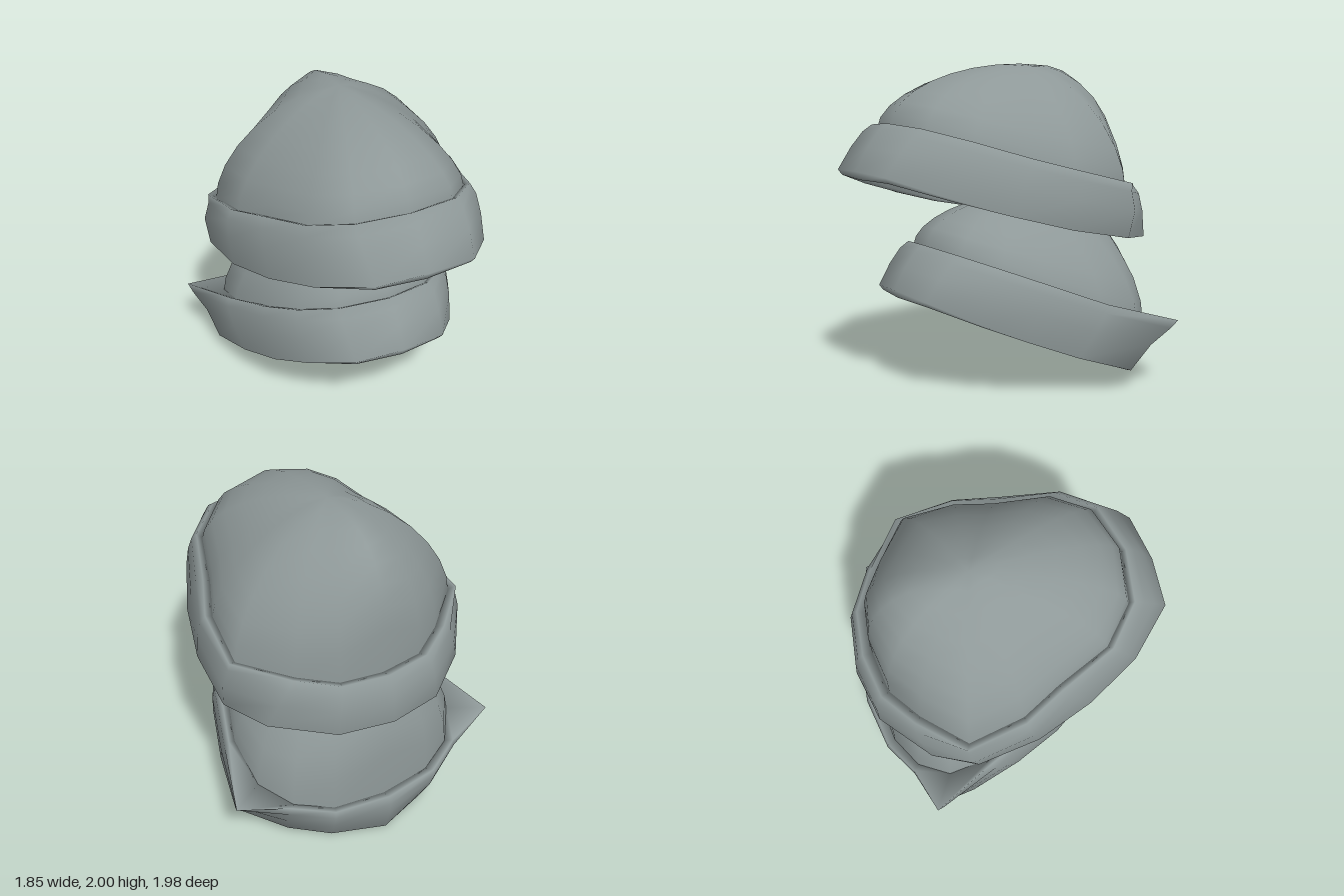
import * as THREE from 'three';
import { mergeVertices } from 'three/addons/utils/BufferGeometryUtils.js';

const HALF = 8, COLS = 16;

// Build a half ring of [x, y, z] points, front centre to back centre.
// The height follows a gentle curve over z: c + b z + a z².
function ring(xs, zs, [c, b, a]) {
  return xs.map((x, i) => [x, c + b * zs[i] + a * zs[i] ** 2, zs[i]]);
}

// Shift a point horizontally away from the hat's axis, and vertically.
function shift([x, y, z], out, up = 0) {
  const dz = z + 0.1, r = Math.hypot(x, dz);
  return [x + (x / r) * out, y + up, z + (dz / r) * out];
}
const mix = (a, b, t) => a.map((v, k) => v + (b[k] - v) * t);

// Mirror half rings to full loops and skin them, rows running upward outside.
function skin(rows) {
  const pos = [], index = [];
  for (const row of rows) {
    for (let i = 0; i < COLS; i++) {
      const [x, y, z] = row[i <= HALF ? i : COLS - i];
      pos.push(i <= HALF ? x : -x, y, z);
    }
  }
  for (let j = 0; j < rows.length - 1; j++) {
    for (let i = 0; i < COLS; i++) {
      const a = j * COLS + i, b = j * COLS + (i + 1) % COLS;
      index.push(a, b, b + COLS, a, b + COLS, a + COLS);
    }
  }
  const raw = new THREE.BufferGeometry();
  raw.setAttribute('position', new THREE.Float32BufferAttribute(pos, 3));
  raw.setIndex(index);
  const geo = mergeVertices(raw, 1e-4);
  geo.computeVertexNormals();
  return geo;
}

// Rounded crown: leaner at the sides, fuller at the back.
function crownGeometry(base, apex) {
  const rows = [], steps = 8;
  for (let j = 0; j < steps; j++) {
    const a = (j / steps) * Math.PI / 2;
    rows.push(base.map(([x, y, z], i) => {
      const t = i / HALF;
      const e = 1 + 0.32 * Math.sin(Math.PI * t) - 0.34 * t ** 3;
      const c = Math.cos(a) ** e, s = Math.sin(a) ** e;
      return [x * c, y + (apex[1] - y) * s, apex[2] + (z - apex[2]) * c];
    }));
  }
  rows.push(base.map(() => apex));
  return skin(rows);
}

// Turned-up brim: inner wall, hem, flared outer wall and rolled top.
function brimGeometry(base, top, hem, spike) {
  const drop = (i) => -Math.max(0, 0.05 - 0.016 * i);
  return skin([
    base,
    hem.map((p, i) => shift(p, -0.05, drop(i) + 0.015)),
    hem.map((p, i) => shift(p, -0.025, drop(i))),
    hem,
    top.map((p, i) => shift(mix(p, hem[i], 0.5), i === 5 ? 0.03 - spike / 4 : 0.025)),
    top.map((p, i) => shift(mix(p, hem[i], 0.16), i === 5 ? 0 : 0.025)),
    top,
    base,
  ]);
}

// One hat; the spike pulls the brim's rear corners outward.
function hat(name, felt, apex, topLine, hem, spike) {
  const base = topLine.map((p, i) => shift(p, -0.03 - 0.004 * i, -0.02));
  const top = topLine.map((p, i) => shift(p, i === 5 ? spike : 0));
  const crown = new THREE.Mesh(crownGeometry(base, apex), felt);
  crown.name = 'crown';
  const brim = new THREE.Mesh(brimGeometry(base, top, hem, spike), felt);
  brim.name = 'brim';
  const group = new THREE.Group();
  group.name = name;
  group.add(crown, brim);
  return group;
}

export function createModel() {
  const felt = new THREE.MeshStandardMaterial({ color: 0x8e9898, side: THREE.DoubleSide });
  felt.name = 'greyFelt';

  const model = new THREE.Group();
  model.name = 'stackedHats';
  model.add(
    hat('lowerHat', felt, [0, 1.17, -0.2],
      ring([0, .31, .51, .64, .76, .75, .6, .36, 0],
        [.55, .48, .3, .07, -.3, -.61, -.81, -.93, -.97], [.675, .4, 0]),
      ring([0, .3, .5, .64, .74, .81, .57, .34, 0],
        [.75, .7, .46, .21, -.1, -.45, -.7, -.85, -.95], [.285, .39, .1]),
      0.21),
    hat('upperHat', felt, [0, 2, -0.18],
      ring([0, .32, .53, .65, .76, .79, .52, .29, 0],
        [.78, .72, .52, .18, -.08, -.45, -.7, -.85, -.89], [1.4, .275, .05]),
      ring([0, .31, .55, .7, .8, .82, .67, .34, 0],
        [.99, .96, .69, .36, 0, -.4, -.66, -.91, -.97], [1.04, .235, .1]),
      0),
  );
  return model;
}
